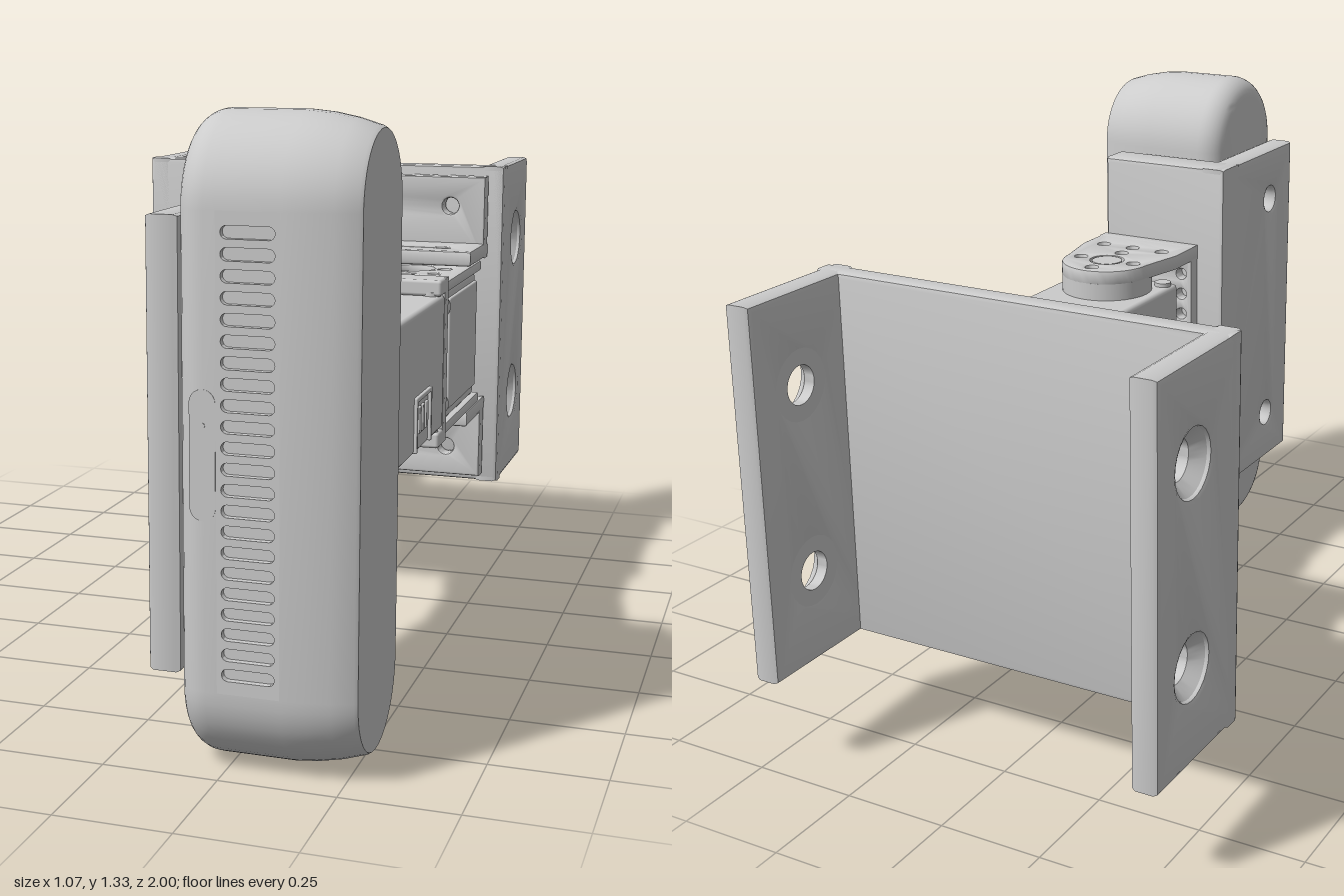
import * as THREE from 'three';
import { toCreasedNormals } from 'three/addons/utils/BufferGeometryUtils.js';
import { RoundedBoxGeometry } from 'three/addons/geometries/RoundedBoxGeometry.js';

const grey = new THREE.MeshStandardMaterial({ color: 0xcccccc, side: THREE.DoubleSide });
const CY = 0.67, SX = 0.313; // height and x of the joint axes

function add(parent, name, geo, x = 0, y = 0, z = 0) {
  const m = new THREE.Mesh(geo, grey);
  m.name = name;
  m.position.set(x, y, z);
  parent.add(m);
  return m;
}

// Rounded block given by its extents
function block(parent, name, X, Y, Z, r = 0.01) {
  const g = new RoundedBoxGeometry(X[1] - X[0], Y[1] - Y[0], Z[1] - Z[0], 2, r);
  return add(parent, name, g, (X[0] + X[1]) / 2, (Y[0] + Y[1]) / 2, (Z[0] + Z[1]) / 2);
}

// Round hole, or a horizontal slot when half-length l is given
function hole([u, v, r, l = 0]) {
  const p = new THREE.Path();
  if (!l) return p.absarc(u, v, r, 0, Math.PI * 2);
  p.absarc(u + l, v, r, -Math.PI / 2, Math.PI / 2);
  return p.absarc(u - l, v, r, Math.PI / 2, Math.PI * 1.5);
}

function extrude(shape, from, to, b) {
  const g = new THREE.ExtrudeGeometry(shape, {
    depth: to - from - 2 * b, bevelEnabled: b > 0, bevelThickness: b, bevelSize: b,
    bevelOffset: -b, bevelSegments: 2, curveSegments: 12,
  });
  return g.translate(0, 0, from + b);
}

// Plate with holes, thin along the given axis; holes are in (x,y), (z,y) or (x,z)
function plate(parent, name, axis, X, Y, Z, holes = [], b = 0.012) {
  const [U, V, T] = { x: [[-Z[1], -Z[0]], Y, X], y: [X, [-Z[1], -Z[0]], Y], z: [X, Y, Z] }[axis];
  const s = new THREE.Shape([
    new THREE.Vector2(U[0], V[0]), new THREE.Vector2(U[1], V[0]),
    new THREE.Vector2(U[1], V[1]), new THREE.Vector2(U[0], V[1])]);
  s.holes = holes.map(([u, v, ...rest]) =>
    hole([axis === 'x' ? -u : u, axis === 'y' ? -v : v, ...rest]));
  let g = extrude(s, T[0], T[1], b);
  if (axis === 'x') g.rotateY(Math.PI / 2);
  if (axis === 'y') g.rotateX(-Math.PI / 2);
  return add(parent, name, toCreasedNormals(g, 0.6));
}

function disc(parent, name, r, h, x, y, z, axis = 'y') {
  const g = new THREE.CylinderGeometry(r, r, h, 40);
  if (axis === 'z') g.rotateX(Math.PI / 2);
  if (axis === 'x') g.rotateZ(Math.PI / 2);
  return add(parent, name, g, x, y, z);
}

// U-shaped wall bracket with countersunk arms
function wallBracket() {
  const g = new THREE.Group();
  g.name = 'wallBracket';
  plate(g, 'backPlate', 'z', [-0.535, 0.495], [0.23, 1.11], [-0.7, -0.64]);
  for (const [x0, x1, out] of [[-0.535, -0.47, -1], [0.43, 0.495, 1]]) {
    const ys = [0.45, 0.895];
    plate(g, 'sideArm', 'x', [x0, x1], [0.23, 1.11], [-1, -0.64], ys.map(y => [-0.85, y, 0.072]));
    const pts = [[0.072, 0.022], [0.045, -0.005], [0.045, -0.032], [0.086, -0.032]];
    for (const y of ys) {
      const l = new THREE.LatheGeometry(pts.map(p => new THREE.Vector2(...p)), 32);
      l.rotateZ(-out * Math.PI / 2);
      add(g, 'countersink', toCreasedNormals(l, 0.5), (x0 + x1) / 2, y, -0.85);
    }
  }
  return g;
}

// Rear actuator, turning about z, held by two angle brackets
function rearActuator() {
  const g = new THREE.Group();
  g.name = 'rearActuator';
  const X = [-0.05, 0.455];
  block(g, 'rearBody', [-0.04, 0.445], [0.5, 0.84], [-0.53, -0.17], 0.015);
  for (const x of [[0.44, 0.453], [-0.048, -0.035]])
    block(g, 'endCover', x, [0.53, 0.815], [-0.515, -0.185], 0.005);
  const pattern = [[0.09, -0.355, 0.06], [0.31, -0.355, 0.06]];
  for (const x of [0, 0.2, 0.4]) pattern.push([x, -0.355, 0.016]);
  for (const x of [0.01, 0.09, 0.165, 0.24, 0.31, 0.39]) pattern.push([x, -0.265, 0.014]);
  for (const x of [0.05, 0.2, 0.35]) pattern.push([x, -0.215, 0.014]);
  for (const s of [1, -1]) {
    const span = (a, b) => [CY + s * a, CY + s * b].sort((p, q) => p - q);
    plate(g, 'coverPlate', 'y', X, span(0.168, 0.195), [-0.55, -0.14], pattern, 0.005);
    plate(g, 'angleUpright', 'z', X, span(0.195, 0.415), [-0.635, -0.585],
      [[0.055, CY + s * 0.335, 0.022], [0.36, CY + s * 0.335, 0.022]], 0.008);
    plate(g, 'angleLeaf', 'y', X, span(0.195, 0.235), [-0.635, -0.405],
      [[0.05, -0.485, 0.015], [0.36, -0.485, 0.015]], 0.008);
    // corner lugs and screws on the front face
    for (const x of [-0.02, 0.425]) {
      disc(g, 'lug', 0.03, 0.03, x, CY + s * 0.125, -0.16, 'z');
      disc(g, 'screw', 0.016, 0.034, x, CY + s * 0.125, -0.158, 'z');
    }
  }
  disc(g, 'rearHorn', 0.115, 0.04, SX, CY, -0.545, 'z');
  disc(g, 'frontHorn', 0.115, 0.05, SX, CY, -0.15, 'z');
  return g;
}

// Front actuator, turning about y, bolted to the rear one's horn
function frontActuator() {
  const g = new THREE.Group();
  g.name = 'frontActuator';
  const X = [0.167, 0.46];
  block(g, 'frontBody', X, [0.505, 0.84], [-0.09, 0.41], 0.012);
  plate(g, 'flange', 'z', X, [0.465, 0.88], [-0.13, -0.09], [], 0.008);
  for (const s of [1, -1]) {
    const y = CY + s * 0.19;
    block(g, 'flangeLip', X, [y - 0.02, y + 0.02], [-0.11, -0.04], 0.008);
    disc(g, 'horn', 0.12, 0.05, SX, CY + s * 0.19, 0.28);
    for (const x of [0.195, 0.432])
      for (const z of [-0.06, 0.375]) disc(g, 'screw', 0.022, 0.02, x, CY + s * 0.17, z);
  }
  // cable socket frame and pins
  block(g, 'socketTop', [0.455, 0.468], [0.63, 0.642], [0.07, 0.225], 0.003);
  for (const z of [0.07, 0.213]) block(g, 'socketSide', [0.455, 0.468], [0.51, 0.64], [z, z + 0.012], 0.003);
  for (const z of [0.1, 0.135, 0.17]) block(g, 'pin', [0.455, 0.466], [0.55, 0.615], [z, z + 0.022], 0.003);
  return g;
}

// Yoke clasping the front actuator from above and below
function yoke() {
  const g = new THREE.Group();
  g.name = 'yoke';
  const s = new THREE.Shape();
  s.moveTo(0.145, 0.525);
  s.lineTo(0.145, 0.4);
  s.lineTo(0.12, 0.28);
  s.absarc(0, 0.28, 0.12, 0, -Math.PI, true);
  s.lineTo(-0.145, 0.4);
  s.lineTo(-0.145, 0.525);
  s.holes = [[0, 0.28, 0.045], [0.08, 0.28, 0.017], [-0.08, 0.28, 0.017], [0, 0.2, 0.017], [0, 0.36, 0.017],
    [0, 0.42, 0.017], [0.09, 0.42, 0.017], [-0.09, 0.42, 0.017]].map(hole);
  for (const y of [0.44, 0.9]) {
    const geo = extrude(s, -0.02, 0.02, 0.005).rotateX(Math.PI / 2);
    add(g, 'yokeArm', toCreasedNormals(geo, 0.6), SX, y, 0);
    disc(g, 'axleScrew', 0.04, 0.036, SX, y, 0.28);
  }
  const holes = [];
  for (const x of [0.2, 0.426]) for (let i = 0; i < 7; i++) holes.push([x, 0.5 + i * 0.057, 0.015]);
  plate(g, 'yokeWeb', 'z', [0.168, 0.458], [0.42, 0.92], [0.49, 0.53], holes, 0.005);
  return g;
}

// Angle holder carrying the sensor
function holder() {
  const g = new THREE.Group();
  g.name = 'holder';
  plate(g, 'holderLeaf', 'z', [0.09, 0.455], [0.205, 1.135], [0.525, 0.627]);
  plate(g, 'holderSide', 'x', [0.09, 0.163], [0.205, 1.135], [0.525, 0.967],
    [[0.83, 0.345, 0.035], [0.83, 0.995, 0.035]]);
  return g;
}

// Stadium-section sensor housing lofted along x, with a slotted grille let into its front
function sensor() {
  const g = new THREE.Group();
  g.name = 'sensor';
  const rings = [];
  for (let i = 0; i <= 8; i++) {
    const a = i / 8 * Math.PI / 2;
    rings.push([0.225 - 0.062 * Math.cos(a), 0.13 + 0.055 * Math.sin(a)]);
  }
  rings.push([0.25, 0.185], [0.38, 0.185], [0.43, 0.18], [0.48, 0.17], [0.525, 0.156], [0.532, 0.151]);
  const n = 24, count = 2 * (n + 1), pos = [], idx = [];
  for (const [x, r] of rings)
    for (let i = 0; i < count; i++) {
      const top = i <= n, a = (top ? i : i - 1) / n * Math.PI;
      pos.push(x, 0.667 + (top ? 0.4825 : -0.4825) + r * Math.sin(a), 0.815 + r * Math.cos(a));
    }
  const first = pos.length / 3, last = (rings.length - 1) * count;
  pos.push(rings[0][0], 0.667, 0.815, rings.at(-1)[0], 0.667, 0.815);
  for (let i = 0; i < count; i++) {
    const j = (i + 1) % count;
    for (let k = 0; k < rings.length - 1; k++) {
      if (k === 9 && j === 0) continue; // opening for the grille
      const a = k * count + i, b = k * count + j;
      idx.push(a, a + count, b + count, a, b + count, b);
    }
    idx.push(first, i, j, first + 1, last + j, last + i);
  }
  const geo = new THREE.BufferGeometry();
  geo.setAttribute('position', new THREE.Float32BufferAttribute(pos, 3));
  geo.setIndex(idx);
  add(g, 'housing', toCreasedNormals(geo, 0.5));
  const slots = [];
  for (let i = 0; i < 22; i++) slots.push([0.315, 0.225 + i * 0.0421, 0.013, 0.042]);
  plate(g, 'grille', 'z', [0.25, 0.38], [0.1845, 1.1495], [0.985, 1], slots, 0);
  add(g, 'grilleBack', new THREE.BoxGeometry(0.13, 0.965, 0.005), 0.315, 0.667, 0.983);
  // button strip with a status light
  const s = new THREE.Shape();
  s.absarc(0, 0.105, 0.027, 0, Math.PI);
  s.absarc(0, -0.105, 0.027, Math.PI, Math.PI * 2);
  add(g, 'buttonStrip', toCreasedNormals(extrude(s, -0.02, 0.001, 0), 0.6), 0.222, 0.67, 1);
  disc(g, 'statusLight', 0.006, 0.004, 0.222, 0.73, 1.001, 'z');
  return g;
}

export function createModel() {
  const model = new THREE.Group();
  model.name = 'sensorMount';
  model.add(wallBracket(), rearActuator(), frontActuator(), yoke(), holder(), sensor());
  return model;
}
